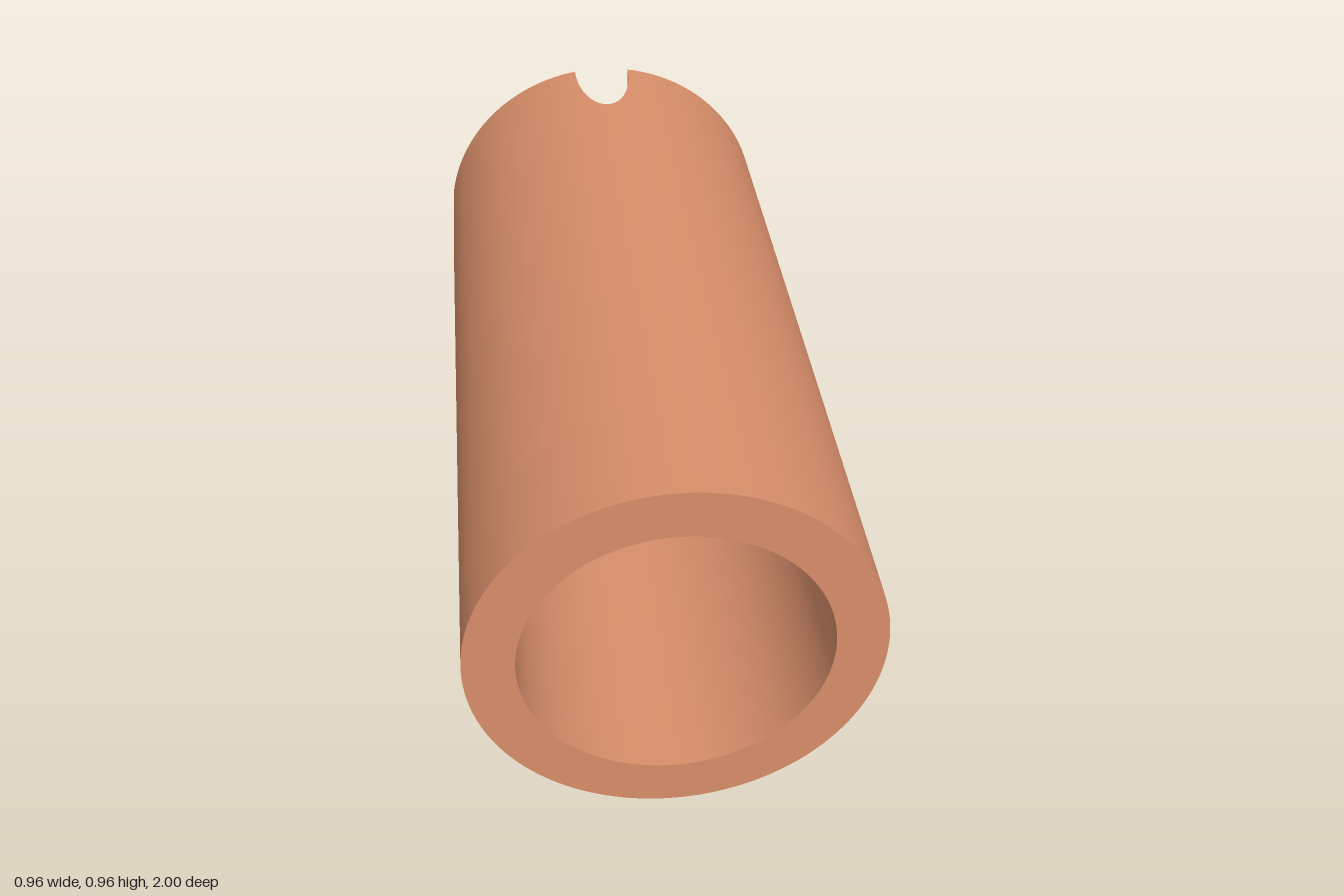
import * as THREE from 'three';

const OUTER = 0.48, INNER = 0.36, FRONT = 1, BACK = -1;
const NOTCH_HALF = 0.08, NOTCH_DEPTH = 0.24;
const NOTCH_STEPS = 32, ARC_STEPS = 28;

// Columns around one half-elliptical notch, cut straight through the wall along axis angle A
function notchColumns(A) {
  const columns = [];
  for (let i = 0; i <= NOTCH_STEPS; i++) {
    const t = (i / NOTCH_STEPS - 0.5) * Math.PI;
    const w = NOTCH_HALF * Math.sin(t);
    const side = -Math.sin(t) / NOTCH_HALF;
    columns.push({
      outer: A + Math.asin(w / OUTER),
      inner: A + Math.asin(w / INNER),
      z: BACK + NOTCH_DEPTH * Math.cos(t),
      rim: new THREE.Vector3(-Math.sin(A) * side, Math.cos(A) * side, -Math.cos(t) / NOTCH_DEPTH).normalize(),
    });
  }
  return columns;
}

// Columns of the plain wall between two notches
function arcColumns(A) {
  const columns = [];
  const o = Math.asin(NOTCH_HALF / OUTER), n = Math.asin(NOTCH_HALF / INNER);
  for (let i = 0; i <= ARC_STEPS; i++) {
    const f = i / ARC_STEPS;
    columns.push({
      outer: A + THREE.MathUtils.lerp(o, Math.PI / 2 - o, f),
      inner: A + THREE.MathUtils.lerp(n, Math.PI / 2 - n, f),
      z: BACK,
      rim: new THREE.Vector3(0, 0, -1),
    });
  }
  return columns;
}

const radial = (a, r, z) => new THREE.Vector3(r * Math.cos(a), r * Math.sin(a), z);

// The four surfaces of the tube: each gives two edge points and a normal per column
const surfaces = {
  outerWall: c => [radial(c.outer, OUTER, FRONT), radial(c.outer, OUTER, c.z), radial(c.outer, 1, 0)],
  notchedRim: c => [radial(c.outer, OUTER, c.z), radial(c.inner, INNER, c.z), c.rim],
  innerWall: c => [radial(c.inner, INNER, c.z), radial(c.inner, INNER, FRONT), radial(c.inner, -1, 0)],
  frontRim: c => [radial(c.inner, INNER, FRONT), radial(c.outer, OUTER, FRONT), new THREE.Vector3(0, 0, 1)],
};

function surfaceGeometry(segments, surface) {
  const positions = [], normals = [], index = [];
  for (const columns of segments) {
    const start = positions.length / 3;
    columns.forEach((column, i) => {
      const [p, q, n] = surface(column);
      positions.push(...p.toArray(), ...q.toArray());
      normals.push(...n.toArray(), ...n.toArray());
      if (i === 0) return;
      const b = start + 2 * i, a = b - 2;
      index.push(a, a + 1, b + 1, a, b + 1, b);
    });
  }
  const geometry = new THREE.BufferGeometry();
  geometry.setAttribute('position', new THREE.Float32BufferAttribute(positions, 3));
  geometry.setAttribute('normal', new THREE.Float32BufferAttribute(normals, 3));
  geometry.setIndex(index);
  return geometry;
}

export function createModel() {
  const model = new THREE.Group();
  model.name = 'notchedTube';
  const material = new THREE.MeshStandardMaterial({ color: 0xd88e6a });

  // Four notches a quarter turn apart, with a wall section after each
  const segments = [];
  for (let k = 0; k < 4; k++) {
    const A = k * Math.PI / 2;
    segments.push(notchColumns(A), arcColumns(A));
  }

  for (const [name, surface] of Object.entries(surfaces)) {
    const mesh = new THREE.Mesh(surfaceGeometry(segments, surface), material);
    mesh.name = name;
    mesh.position.y = OUTER;
    model.add(mesh);
  }
  return model;
}
